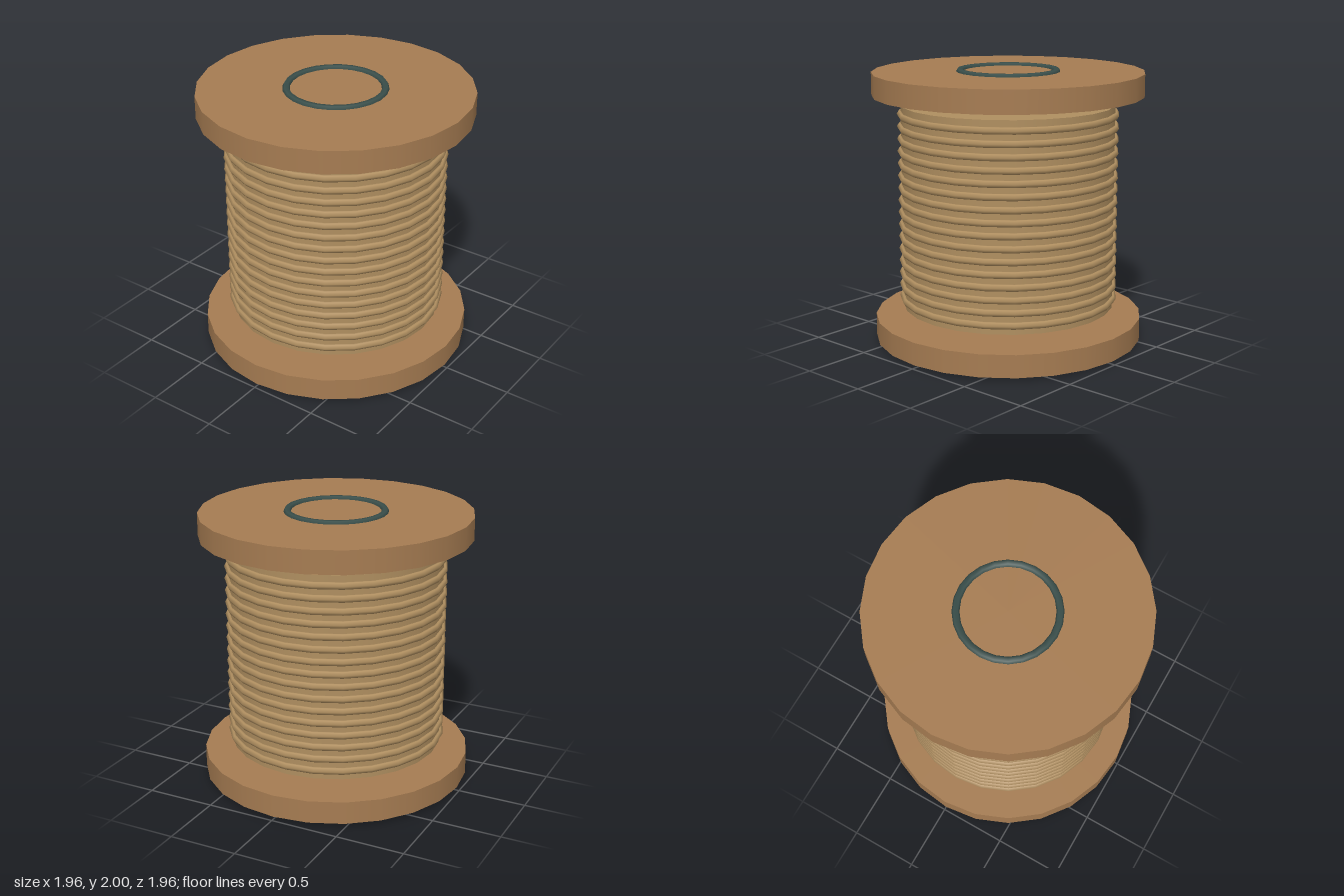
import * as THREE from 'three';

const SIDES = 24;

export function createModel() {
  const group = new THREE.Group();
  const wood = new THREE.MeshStandardMaterial({ color: 0xa67c52 });
  const thread = new THREE.MeshStandardMaterial({ color: 0xb08f60 });
  const metal = new THREE.MeshStandardMaterial({ color: 0x3a4f4b });

  const add = (name, geometry, material, y) => {
    const mesh = new THREE.Mesh(geometry, material);
    mesh.name = name;
    mesh.position.y = y;
    group.add(mesh);
  };
  const disc = (radius, height) => new THREE.CylinderGeometry(radius, radius, height, SIDES);
  const ring = (radius, tube) => new THREE.TorusGeometry(radius, tube, 6, SIDES).rotateX(Math.PI / 2);

  // End flanges, each with a rim set around the spindle hole
  const flange = disc(0.98, 0.165);
  const rim = ring(0.347, 0.03);
  for (const [side, s] of [['top', 1], ['bottom', -1]]) {
    add(side + 'Flange', flange, wood, 1 + s * 0.8975);
    add(side + 'Rim', rim, metal, 1 + s * 0.974);
  }

  // Wound core
  add('woundCore', disc(0.775, 1.49), thread, 1.003);

  // Raised turns of thread
  const turns = 16;
  const turn = ring(0.775, 0.027);
  for (let i = 0; i < turns; i++) {
    add('threadTurn' + (i + 1), turn, thread, 0.323 + (i * 1.354) / (turns - 1));
  }
  return group;
}
